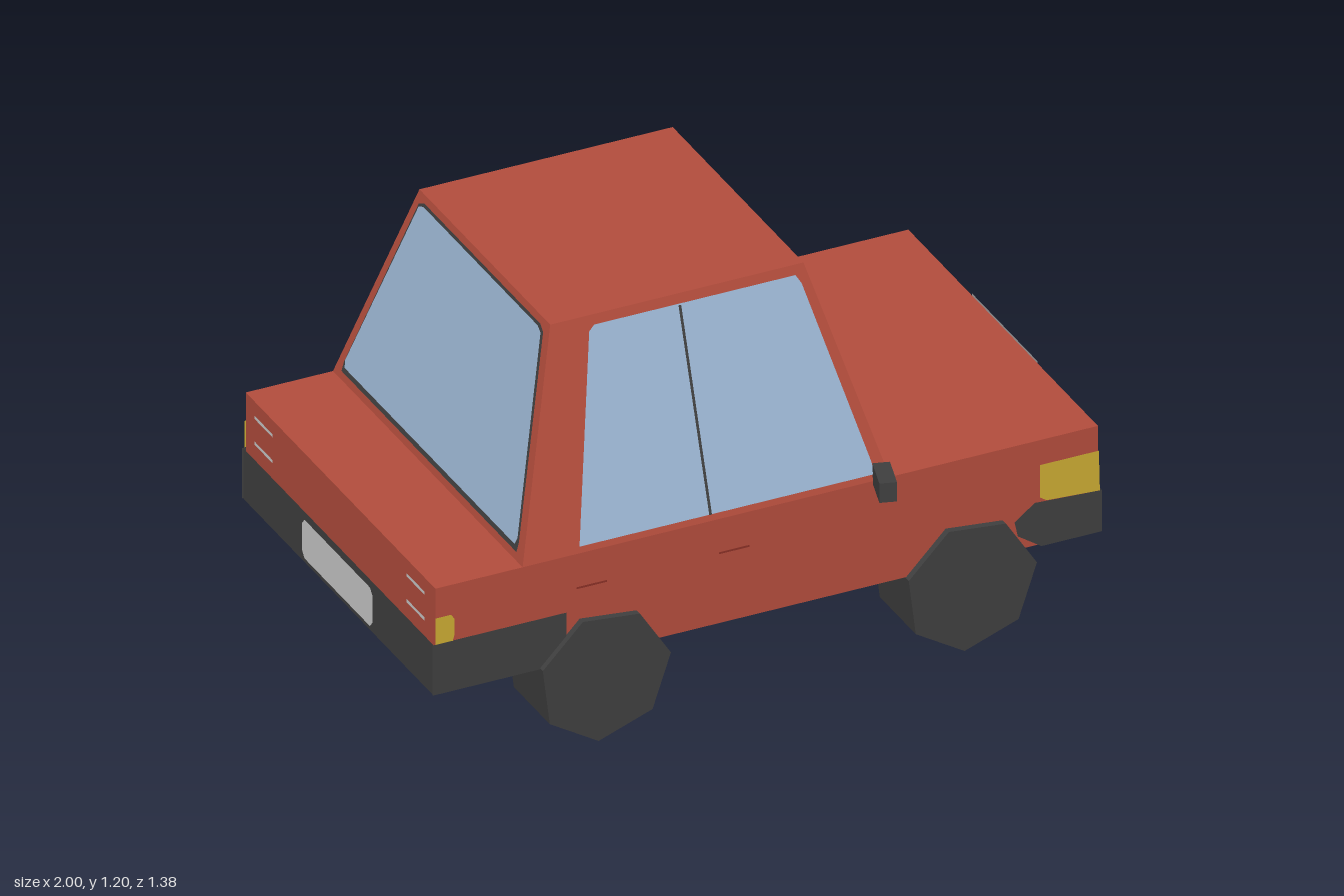
import * as THREE from 'three';

const mat = (name, color) => new THREE.MeshStandardMaterial({ name, color, flatShading: true, side: THREE.DoubleSide });

export function createModel() {
  const car = new THREE.Group();
  car.name = 'car';
  const paint = mat('red paint', 0xb24c3c);
  const glass = mat('blue glass', 0x9bb5d2);
  const dark = mat('dark rubber', 0x3f3f3f);
  const headlight = mat('pale headlight', 0xd0cf78);
  const amber = mat('amber lamp', 0xc9a932);
  const grey = mat('grille grey', 0xa39c9c);
  const plate = mat('plate grey', 0xcacaca);
  const trim = mat('dark red trim', 0x8a3026);

  const add = (name, geometry, material) => {
    const mesh = new THREE.Mesh(geometry, material);
    mesh.name = name;
    car.add(mesh);
    return mesh;
  };
  // Flat convex panel from its corners
  const panel = (name, material, pts) => {
    const pos = [];
    for (let i = 1; i < pts.length - 1; i++) pos.push(...pts[0], ...pts[i], ...pts[i + 1]);
    const g = new THREE.BufferGeometry();
    g.setAttribute('position', new THREE.Float32BufferAttribute(pos, 3));
    g.computeVertexNormals();
    return add(name, g, material);
  };
  // Panel across the car: corners are [z, y] at a given x
  const across = (name, material, x, pts) => panel(name, material, pts.map(([z, y]) => [x, y, z]));
  const rect = (a0, a1, y0, y1) => [[a0, y0], [a1, y0], [a1, y1], [a0, y1]];

  const W = 0.58, BELT = 0.585, TOP = 1.2, SILL = 0.262;
  const rise = (y) => (y - BELT) / (TOP - BELT);
  const sideZ = (y) => W - 0.18 * rise(y);
  const frontX = (y) => 0.365 - 0.17 * rise(y);
  const rearX = (y) => -0.73 + 0.17 * rise(y);

  // Body shell, open underneath
  panel('hood', paint, [[0.365, BELT, W], [0.985, BELT, W], [0.985, BELT, -W], [0.365, BELT, -W]]);
  panel('trunkLid', paint, [[-0.99, BELT, W], [-0.73, BELT, W], [-0.73, BELT, -W], [-0.99, BELT, -W]]);
  across('nose', paint, 0.985, rect(W, -W, SILL, BELT));
  across('tail', paint, -0.99, rect(-W, W, SILL, BELT));
  panel('roof', paint, [[-0.56, TOP, 0.4], [0.195, TOP, 0.4], [0.195, TOP, -0.4], [-0.56, TOP, -0.4]]);

  // Windscreen and rear window with their walls and gaskets
  for (const [name, xAt, out] of [['windscreen', frontX, 1], ['rearWindow', rearX, -1]]) {
    const slope = (part, material, offset, pts) =>
      panel(part, material, pts.map(([z, y]) => [xAt(y) + out * offset, y, z * out]));
    slope(name + 'Wall', paint, 0, [[W, BELT], [-W, BELT], [-0.4, TOP], [0.4, TOP]]);
    slope(name + 'Gasket', dark, 0.003, [[0.535, 0.608], [-0.535, 0.608], [-0.535, 0.635], [-0.38, 1.17], [-0.355, 1.182], [0.355, 1.182], [0.38, 1.17], [0.535, 0.635]]);
    for (const offset of [0.006, -0.004])
      slope(name, glass, offset, [[0.52, 0.625], [-0.52, 0.625], [-0.527, 0.645], [-0.373, 1.165], [-0.35, 1.175], [0.35, 1.175], [0.373, 1.165], [0.527, 0.645]]);
  }

  for (const s of [1, -1]) {
    const label = s > 0 ? 'left' : 'right';
    // Vertical panel on the lower side, corners are [x, y]
    const flank = (name, material, offset, pts) =>
      panel(label + name, material, pts.map(([x, y]) => [x, y, s * (W + offset)]));
    // Leaning panel on the cabin side
    const cabin = (name, material, offset, pts) =>
      panel(label + name, material, pts.map(([x, y]) => [x, y, s * (sideZ(y) + offset)]));

    flank('Flank', paint, 0, rect(-0.99, 0.985, SILL, BELT));
    cabin('CabinWall', paint, 0, [[-0.73, BELT], [0.365, BELT], [0.195, TOP], [-0.56, TOP]]);
    for (const offset of [0.005, -0.004])
      cabin('Window', glass, offset, [[-0.56, 0.605], [0.32, 0.605], [0.315, 0.64], [0.18, 1.15], [0.165, 1.175], [-0.435, 1.175], [-0.452, 1.16]]);
    cabin('WindowDivider', dark, 0.007, [[-0.174, 0.605], [-0.166, 0.605], [-0.177, 1.172], [-0.185, 1.172]]);

    // Bumper ends, side lamps and door handles
    flank('FrontBumperEnd', dark, 0.003, [[0.735, 0.35], [0.745, 0.305], [0.815, 0.257], [0.996, 0.257], [0.996, 0.385], [0.795, 0.396]]);
    flank('RearBumperEnd', dark, 0.003, [[-1, 0.257], [-0.67, 0.257], [-0.6, 0.34], [-0.6, 0.413], [-1, 0.413]]);
    flank('FrontSideLamp', amber, 0.004, [[0.83, 0.396], [0.989, 0.386], [0.986, 0.51], [0.81, 0.51], [0.81, 0.41]]);
    flank('RearSideLamp', amber, 0.004, [[-0.992, 0.413], [-0.94, 0.413], [-0.935, 0.43], [-0.935, 0.48], [-0.945, 0.495], [-0.992, 0.495]]);
    for (const x of [-0.525, -0.1]) flank('DoorHandle', trim, 0.002, rect(x - 0.045, x + 0.045, 0.477, 0.483));

    // Headlight and tail light slivers
    across(label + 'Headlight', headlight, 0.989, rect(s * 0.2, s * W, 0.385, 0.5));
    for (const y of [0.54, 0.46]) across(label + 'TailLight', plate, -0.993, rect(s * 0.41, s * 0.52, y - 0.005, y + 0.005));

    // Swept door mirror
    const mirror = add(label + 'Mirror', new THREE.BoxGeometry(0.048, 0.06, 0.11), dark);
    mirror.position.set(0.325, 0.605, s * 0.63);
    mirror.rotation.y = -s * 0.28;

    // Seven-sided wheels, open on the inner side
    for (const x of [-0.493, 0.598]) {
      const wheel = new THREE.Group();
      wheel.name = label + (x > 0 ? 'FrontWheel' : 'RearWheel');
      const start = THREE.MathUtils.degToRad(7);
      const tread = new THREE.Mesh(new THREE.CylinderGeometry(0.197, 0.197, 0.22, 7, 1, true, start + Math.PI / 2).rotateX(Math.PI / 2), dark);
      tread.name = 'tread';
      const disc = new THREE.Mesh(new THREE.CircleGeometry(0.197, 7, start), dark);
      disc.name = 'outerDisc';
      disc.position.z = s * 0.11;
      wheel.add(tread, disc);
      wheel.position.set(x, 0.197, s * 0.49);
      car.add(wheel);
    }
  }

  // Front end
  across('frontBumper', dark, 0.996, rect(W, -W, 0.257, 0.385));
  across('grille', grey, 0.99, rect(0.2, -0.2, 0.385, BELT));
  across('frontPlate', plate, 1, rect(0.2, -0.2, 0.255, 0.352));
  panel('frontPlateLip', plate, [[0.99, 0.22, 0.2], [0.99, 0.22, -0.2], [1, 0.255, -0.2], [1, 0.255, 0.2]]);

  // Rear end
  across('rearBumper', dark, -0.997, rect(-W, W, 0.257, 0.413));
  across('rearPlate', plate, -1, [[-0.2, 0.272], [0.2, 0.272], [0.215, 0.29], [0.215, 0.375], [0.2, 0.392], [-0.2, 0.392], [-0.215, 0.375], [-0.215, 0.29]]);

  return car;
}
